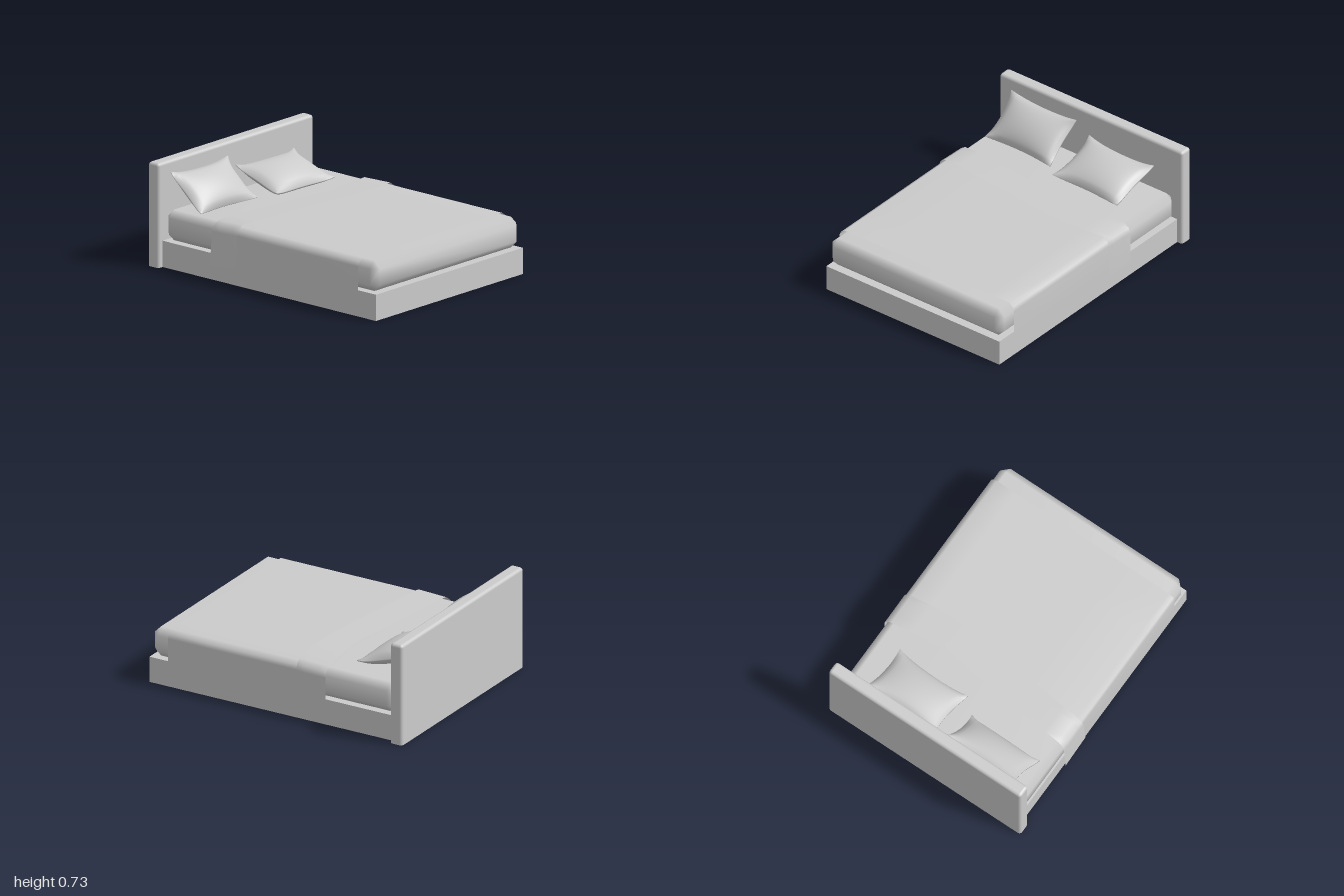
import * as THREE from 'three';
import { mergeVertices } from 'three/addons/utils/BufferGeometryUtils.js';
import { RoundedBoxGeometry } from 'three/addons/geometries/RoundedBoxGeometry.js';
import { ConvexGeometry } from 'three/addons/geometries/ConvexGeometry.js';

const material = new THREE.MeshStandardMaterial({ color: 0xcccccc });
const clothMaterial = new THREE.MeshStandardMaterial({ color: 0xcccccc, side: THREE.DoubleSide });

function smooth(geometry) {
  geometry.deleteAttribute('normal');
  geometry.deleteAttribute('uv');
  const merged = mergeVertices(geometry, 1e-4);
  merged.computeVertexNormals();
  return merged;
}

// Box with every edge bevelled once and shaded softly
function chamferBox(w, h, d, c) {
  const points = [];
  for (const sx of [-1, 1]) for (const sy of [-1, 1]) for (const sz of [-1, 1]) {
    for (let axis = 0; axis < 3; axis++) {
      const inset = [0, 1, 2].map((i) => (i === axis ? 0 : c));
      points.push(new THREE.Vector3(
        sx * (w / 2 - inset[0]), sy * (h / 2 - inset[1]), sz * (d / 2 - inset[2])));
    }
  }
  return smooth(new ConvexGeometry(points));
}

// Cushion in the xy plane: plump middle, pinched edges and pointed corners
function pillowGeometry(w, h, thickness) {
  const geometry = new THREE.BoxGeometry(2, 2, 2, 20, 16, 1);
  const p = geometry.attributes.position;
  for (let i = 0; i < p.count; i++) {
    const u = p.getX(i), v = p.getY(i), side = p.getZ(i);
    const a = 1 - u * u, b = 1 - v * v;
    const puff = 0.004 + (thickness / 2) * Math.pow(a * b, 0.55);
    const x = u * (1 - 0.07 * b) * w / 2;
    const y = v * (1 - 0.09 * a) * h / 2;
    // corners curl up slightly
    p.setXYZ(i, x, y, side * puff + 0.02 * Math.pow(u * v, 4));
  }
  return smooth(geometry);
}

// Cloth laid over the bed; each section entry is [x, y, zBack, zFront]
function drape(section, backDrop, hemDrop) {
  const rows = 4;
  const geometry = new THREE.PlaneGeometry(1, 1, section.length - 1, rows);
  const p = geometry.attributes.position;
  for (let i = 0; i < p.count; i++) {
    const col = i % section.length;
    const t = 1 - Math.floor(i / section.length) / rows; // 1 at the back
    const [x, y, zBack, zFront] = section[col];
    const hem = col === 0 || col === section.length - 1;
    p.setXYZ(i, x, y - t * (hem ? hemDrop : backDrop), THREE.MathUtils.lerp(zFront, zBack, t));
  }
  geometry.computeVertexNormals();
  return geometry;
}

export function createModel() {
  const bed = new THREE.Group();
  bed.name = 'bed';

  function add(name, geometry, x = 0, y = 0, z = 0, mat = material) {
    const mesh = new THREE.Mesh(geometry, mat);
    mesh.name = name;
    mesh.position.set(x, y, z);
    bed.add(mesh);
    return mesh;
  }

  add('base', new THREE.BoxGeometry(1.475, 0.183, 1.91), 0, 0.0915, 0.045);
  add('mattress', chamferBox(1.47, 0.213, 1.89, 0.05), 0, 0.2925, 0.045);

  // Headboard: rounded slab, flat where it meets the floor
  const board = new RoundedBoxGeometry(1.56, 0.785, 0.095, 3, 0.022);
  board.translate(0, 0.3325, 0);
  const bp = board.attributes.position;
  for (let i = 0; i < bp.count; i++) bp.setY(i, Math.max(0, bp.getY(i)));
  add('headboard', board, 0, 0, -0.9525);

  // Blanket over the mattress, its head end meeting the turned-over band
  add('blanket', drape([
    [-0.747, 0.175, -0.43, 0.85], [-0.747, 0.35, -0.43, 0.85], [-0.735, 0.38, -0.43, 0.85],
    [-0.7, 0.404, -0.43, 0.85], [-0.3, 0.405, -0.39, 0.85], [0, 0.405, -0.365, 0.85],
    [0.28, 0.405, -0.325, 0.85], [0.55, 0.405, -0.355, 0.85], [0.7, 0.404, -0.375, 0.85],
    [0.735, 0.38, -0.38, 0.85], [0.745, 0.35, -0.38, 0.85], [0.745, 0.175, -0.38, 0.85],
  ], 0, 0), 0, 0, 0, clothMaterial);

  // Turned-over band with its wavy edges
  add('blanketFold', drape([
    [-0.77, 0.13, -0.455, -0.225], [-0.753, 0.35, -0.45, -0.225], [-0.74, 0.39, -0.445, -0.225],
    [-0.7, 0.418, -0.44, -0.225], [-0.58, 0.424, -0.43, -0.215], [-0.3, 0.425, -0.4, -0.185],
    [0, 0.426, -0.37, -0.15], [0.28, 0.426, -0.33, -0.12], [0.55, 0.425, -0.36, -0.13],
    [0.7, 0.418, -0.38, -0.152], [0.74, 0.39, -0.383, -0.155], [0.752, 0.35, -0.385, -0.155],
    [0.755, 0.13, -0.385, -0.155],
  ], 0.008, 0.03), 0, 0, 0, clothMaterial);

  // Pillows leaning on the headboard
  const right = add('rightPillow', pillowGeometry(0.56, 0.36, 0.14), -0.39, 0.51, -0.765);
  right.rotation.set(-0.87, 0, -0.02);
  const left = add('leftPillow', pillowGeometry(0.565, 0.4, 0.14), 0.268, 0.467, -0.708);
  left.rotation.set(-1.26, 0, -0.03);

  return bed;
}
